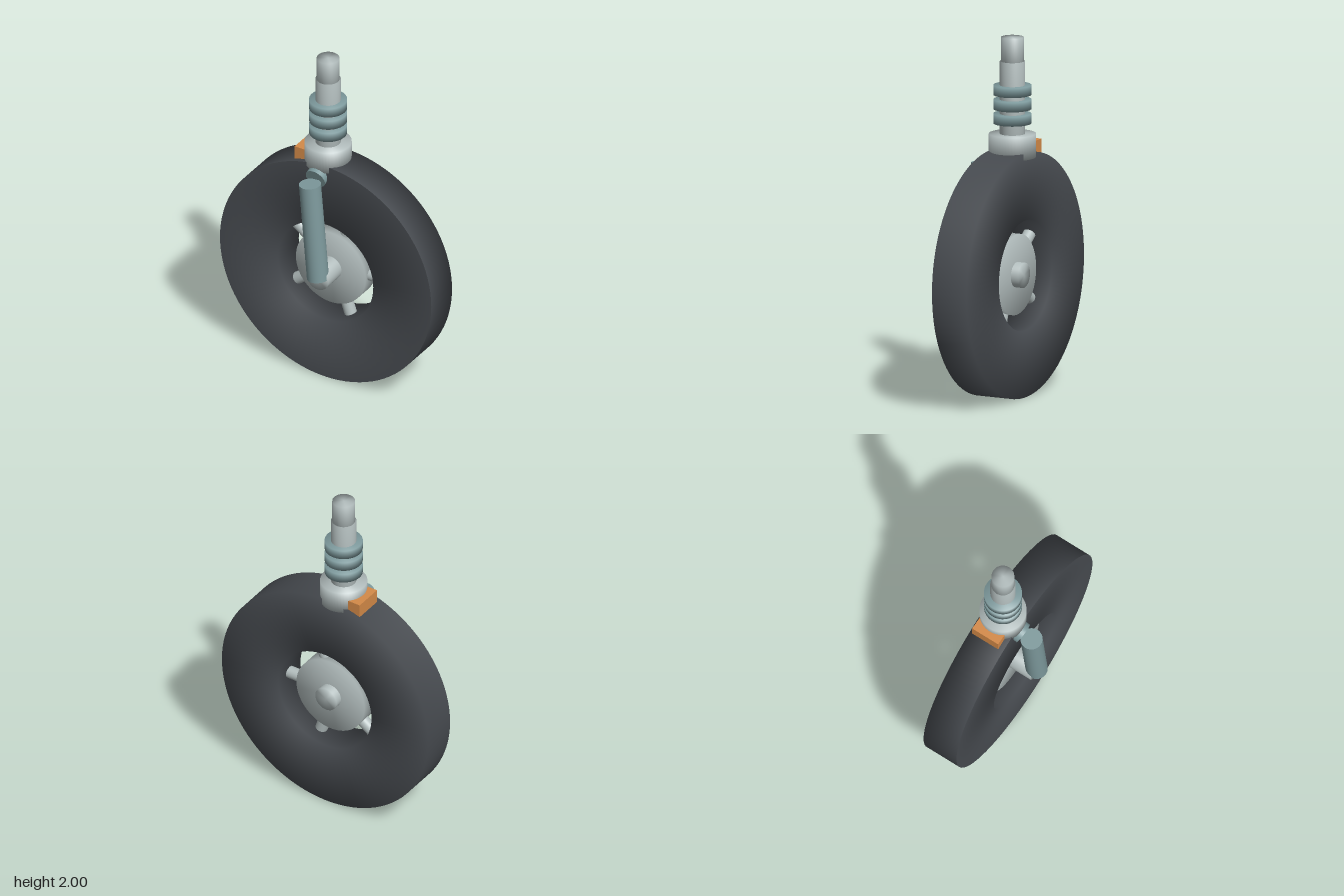
import * as THREE from 'three';

const flat = (name, color) => {
  const m = new THREE.MeshStandardMaterial({ color });
  m.name = name;
  return m;
};

export function createModel() {
  const model = new THREE.Group();
  model.name = 'wheelAssembly';
  const rubber = flat('darkRubber', 0x474b50);
  const silver = flat('silver', 0xb2bdbd);
  const teal = flat('greyTeal', 0x7d999c);
  const orange = flat('orange', 0xd48a48);

  const add = (parent, name, geometry, material) => {
    const mesh = new THREE.Mesh(geometry, material);
    mesh.name = name;
    parent.add(mesh);
    return mesh;
  };
  const lathe = (pts, segments = 48) =>
    new THREE.LatheGeometry(pts.map(([x, y]) => new THREE.Vector2(x, y)), segments);
  // Solid turned disc with softly blended corner normals
  const disc = (r, y0, y1, segments) => lathe([[0, y0], [r, y0], [r, y1], [0, y1]], segments);
  // Straight rod between two points
  const rod = (parent, name, a, b, r, material) => {
    const from = new THREE.Vector3(...a), to = new THREE.Vector3(...b);
    const dir = to.clone().sub(from);
    const mesh = add(parent, name, new THREE.CylinderGeometry(r, r, dir.length(), 32), material);
    mesh.position.copy(from).add(to).multiplyScalar(0.5);
    mesh.quaternion.setFromUnitVectors(new THREE.Vector3(0, 1, 0), dir.normalize());
    return mesh;
  };

  // Wheel: tyre ring, hub, axle and spokes around the z axis
  const wheel = new THREE.Group();
  wheel.name = 'wheel';
  wheel.position.set(0, 0.683, -0.058);
  model.add(wheel);
  const R = 0.683, r = 0.308, w = 0.108;
  const tyre = lathe([[R, w], [r, w], [r, -w], [R, -w], [R, w]], 96);
  add(wheel, 'tyre', tyre.rotateX(Math.PI / 2), rubber);
  add(wheel, 'hub', disc(0.225, -0.055, 0.055, 64).rotateX(Math.PI / 2), silver);
  add(wheel, 'axle', disc(0.07, -0.1, 0.193).rotateX(Math.PI / 2), silver);
  for (let i = 0; i < 5; i++) {
    const a = (i * Math.PI * 2) / 5, c = Math.cos(a), s = Math.sin(a);
    rod(wheel, 'spoke', [c * 0.15, s * 0.15, 0], [c * 0.325, s * 0.325, 0], 0.035, silver);
  }

  // Steering column: collar, stepped stem and bellows rings
  const column = new THREE.Group();
  column.name = 'column';
  column.position.set(-0.051, 0, -0.058);
  model.add(column);
  add(column, 'collar', disc(0.13, 1.33, 1.46), silver);
  add(column, 'lowerStem', disc(0.07, 1.44, 1.865), silver);
  add(column, 'upperStem', disc(0.063, 1.85, 2), silver);
  for (const y of [1.545, 1.625, 1.705]) {
    add(column, 'bellowsRing', disc(0.105, y - 0.027, y + 0.027), teal);
  }

  // Single-sided fork: short elbow out of the collar, then the leg to the axle
  rod(model, 'forkElbow', [-0.051, 1.325, -0.05], [-0.051, 1.283, 0.075], 0.061, teal);
  rod(model, 'forkLeg', [0, 0.686, 0.13], [-0.052, 1.28, 0.13], 0.061, teal);

  // Block on the side of the collar
  const block = add(model, 'sideBlock', new THREE.BoxGeometry(0.1, 0.08, 0.17), orange);
  block.position.set(-0.169, 1.37, -0.065);

  return model;
}
